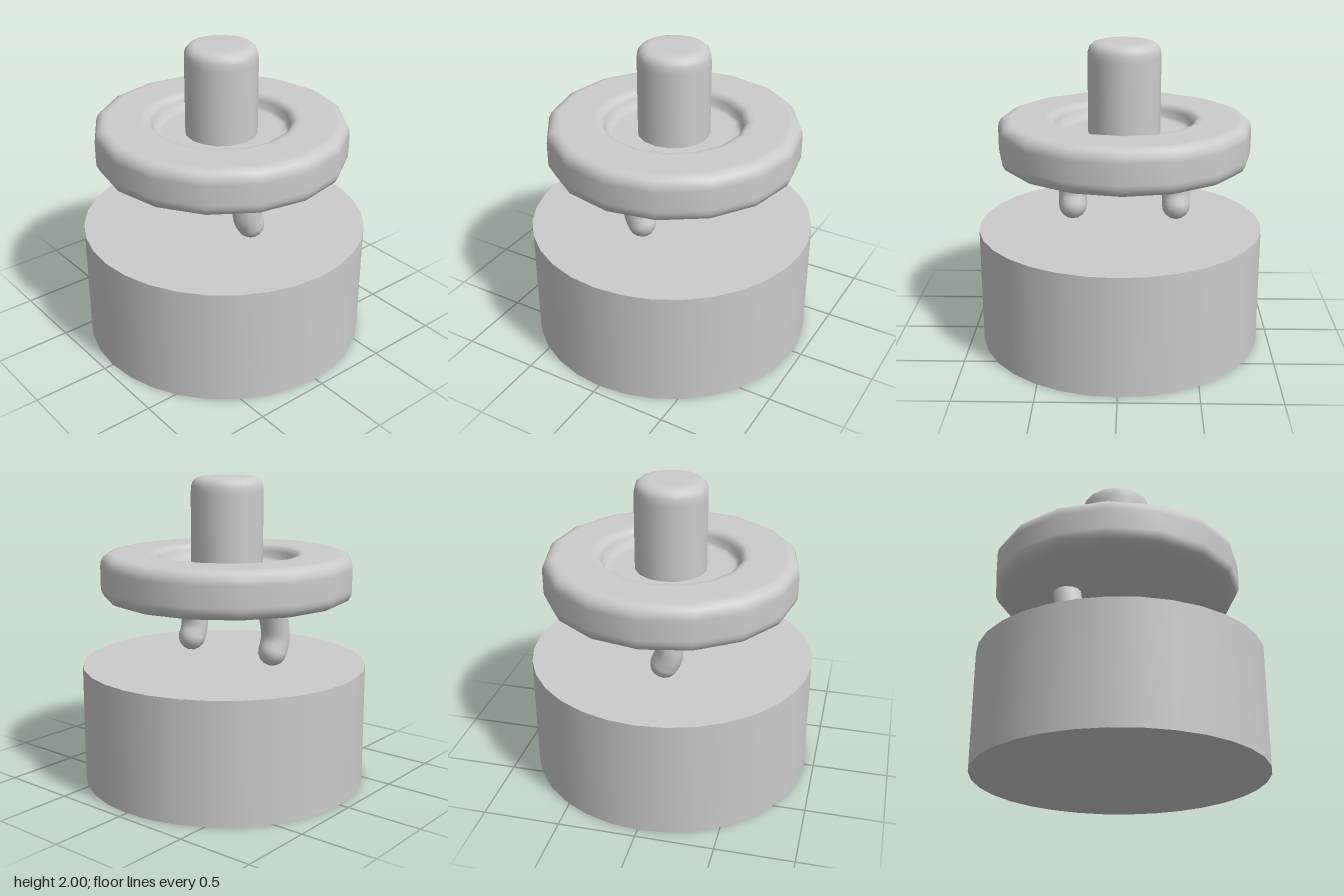
import * as THREE from 'three';

const material = new THREE.MeshStandardMaterial({ color: 0xcccccc });
const OFFSET_X = -0.027; // the upper assembly sits slightly off the base axis

function addMesh(parent, name, geometry, x = 0, y = 0, z = 0) {
  const mesh = new THREE.Mesh(geometry, material);
  mesh.name = name;
  mesh.position.set(x, y, z);
  parent.add(mesh);
  return mesh;
}

// 16-sided smooth turned part from [radius, height] pairs, bottom to top
function turned(points) {
  return new THREE.LatheGeometry(points.map(([r, y]) => new THREE.Vector2(r, y)), 16);
}

export function createModel() {
  const model = new THREE.Group();
  model.name = 'model';

  // Solid drum base
  addMesh(model, 'base', new THREE.CylinderGeometry(0.935, 0.935, 0.78, 32), 0, 0.39, 0);

  const upper = new THREE.Group();
  upper.name = 'upperAssembly';
  upper.position.x = OFFSET_X;
  model.add(upper);

  // Round plate with soft edges and a shallow recess around the stem
  addMesh(upper, 'plate', turned([
    [0, 1.218], [0.74, 1.218], [0.77, 1.22], [0.802, 1.236], [0.819, 1.27],
    [0.822, 1.3], [0.822, 1.43], [0.819, 1.46], [0.802, 1.494], [0.77, 1.51],
    [0.74, 1.513], [0.52, 1.513], [0.487, 1.51], [0.463, 1.497], [0.45, 1.47],
    [0.44, 1.43], [0.42, 1.415], [0.38, 1.41], [0, 1.41],
  ]));

  // Central stem with a rounded top
  addMesh(upper, 'stem', turned([
    [0.235, 1.38], [0.235, 1.9], [0.232, 1.94], [0.222, 1.97],
    [0.2, 1.99], [0.17, 2], [0.13, 2], [0, 2],
  ]));

  // Pair of bent legs with rounded feet
  const path = new THREE.CatmullRomCurve3([
    [1.3, -0.025], [1.2, 0.013], [1.1, 0.05], [1.01, 0.07], [0.95, 0.064], [0.893, 0.04],
  ].map(([y, z]) => new THREE.Vector3(0, y, z)));
  for (const [side, name] of [[1, 'leftLeg'], [-1, 'rightLeg']]) {
    const leg = new THREE.Group();
    leg.name = name;
    leg.position.x = side * 0.345;
    upper.add(leg);
    addMesh(leg, name + 'Shaft', new THREE.TubeGeometry(path, 12, 0.093, 12));
    const foot = addMesh(leg, name + 'Foot', new THREE.SphereGeometry(0.093, 12, 8), 0, 0.893, 0.04);
    foot.rotation.x = 0.4;
  }

  return model;
}
